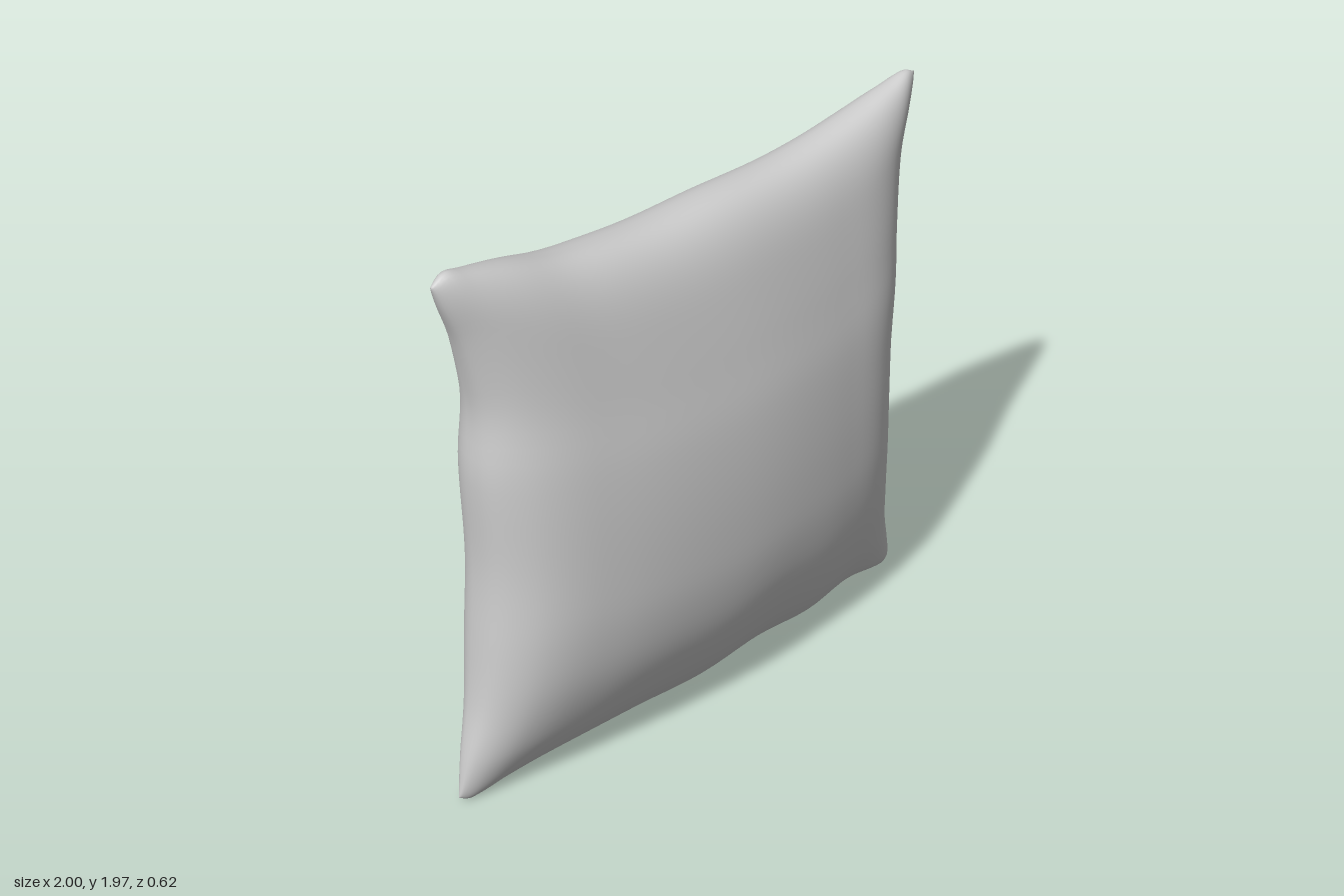
import * as THREE from 'three';
import { mergeVertices } from 'three/addons/utils/BufferGeometryUtils.js';

// Smooth curve through [position, value] knots
function spline(knots) {
  const n = knots.length - 1;
  const slope = (i) => {
    const a = knots[Math.max(0, i - 1)], b = knots[Math.min(n, i + 1)];
    return (b[1] - a[1]) / (b[0] - a[0]);
  };
  return (t) => {
    let i = 0;
    while (i < n - 1 && t > knots[i + 1][0]) i++;
    const [t0, a] = knots[i], [t1, b] = knots[i + 1];
    const h = t1 - t0, s = (t - t0) / h, s2 = s * s, s3 = s2 * s;
    return a * (2 * s3 - 3 * s2 + 1) + slope(i) * h * (s3 - 2 * s2 + s)
      + b * (3 * s2 - 2 * s3) + slope(i + 1) * h * (s3 - s2);
  };
}

// Seam outline: heights across u, half widths along v
const topEdge = spline([[-1, 1.95], [-0.95, 1.98], [-0.88, 1.966], [-0.72, 1.93], [-0.55, 1.883],
  [-0.42, 1.865], [-0.18, 1.85], [0.1, 1.857], [0.36, 1.861], [0.54, 1.88], [0.72, 1.915], [0.88, 1.957],
  [0.96, 1.98], [1, 1.965]]);
const bottomEdge = spline([[-1, 0.03], [-0.96, 0.01], [-0.83, 0.03], [-0.68, 0.04], [-0.3, 0.035],
  [0, 0.015], [0.28, 0.035], [0.54, 0.015], [0.75, 0.045], [0.96, 0.008], [1, 0.025]]);
const leftEdge = spline([[-1, -0.995], [-0.86, -0.968], [-0.65, -0.92], [-0.38, -0.89], [-0.1, -0.87],
  [0.27, -0.88], [0.46, -0.865], [0.57, -0.872], [0.78, -0.915], [0.92, -0.965], [1, -0.99]]);
const rightEdge = spline([[-1, 0.985], [-0.92, 0.968], [-0.67, 0.9], [-0.38, 0.865], [0.06, 0.855],
  [0.33, 0.88], [0.5, 0.89], [0.75, 0.917], [0.9, 0.965], [1, 1]]);

// Fullness corrections for each side of the cushion
const frontAcross = spline([[-1, 1.05], [-0.87, 1.1], [-0.58, 1.05], [0, 1], [0.58, 0.99], [0.87, 1.08], [1, 1.05]]);
const frontUp = spline([[-1, 0.75], [-0.92, 0.8], [-0.81, 0.9], [-0.59, 1.02], [-0.37, 1.04], [-0.15, 1.01],
  [0.285, 0.94], [0.505, 0.88], [0.725, 0.87], [1, 0.96]]);
const backAcross = spline([[-1, 1], [-0.75, 1.03], [-0.63, 1.09], [-0.5, 1.12], [-0.23, 1.04], [0, 1],
  [0.58, 0.98], [0.81, 1.04], [1, 1]]);
const backUp = spline([[-1, 0.8], [-0.81, 0.94], [-0.59, 1.03], [-0.37, 1.02], [-0.15, 0.98],
  [0.285, 0.97], [0.505, 0.98], [0.725, 1.02], [1, 1.06]]);

function cushionGeometry(segments) {
  const positions = [], indices = [], row = segments + 1;
  const swell = (t, p) => Math.pow(Math.max(0, 1 - t * t), p);
  for (const side of [1, -1]) {
    const across = side > 0 ? frontAcross : backAcross;
    const up = side > 0 ? frontUp : backUp;
    const start = positions.length / 3;
    for (let j = 0; j <= segments; j++) {
      for (let i = 0; i <= segments; i++) {
        // Rows crowd toward the seam, where the surface curves most
        const u = Math.sin((i / segments - 0.5) * Math.PI);
        const v = Math.sin((j / segments - 0.5) * Math.PI);
        const depth = 0.311 * swell(u, 0.4) * swell(v, 0.45) * across(u) * up(v);
        positions.push(
          THREE.MathUtils.lerp(leftEdge(v), rightEdge(v), (u + 1) / 2),
          THREE.MathUtils.lerp(bottomEdge(u), topEdge(u), (v + 1) / 2),
          side * depth);
        if (i < segments && j < segments) {
          const a = start + j * row + i, b = a + 1, c = b + row, d = a + row;
          if (side > 0) indices.push(a, b, c, a, c, d);
          else indices.push(a, c, b, a, d, c);
        }
      }
    }
  }
  const geometry = new THREE.BufferGeometry();
  geometry.setAttribute('position', new THREE.Float32BufferAttribute(positions, 3));
  geometry.setIndex(indices);
  // Join both sides along the seam for one smooth skin
  const joined = mergeVertices(geometry, 1e-5);
  joined.computeVertexNormals();
  return joined;
}

export function createModel() {
  const fabric = new THREE.MeshStandardMaterial({ color: 0xcccccc });
  fabric.name = 'light grey fabric';
  const cushion = new THREE.Mesh(cushionGeometry(56), fabric);
  cushion.name = 'cushion';
  const model = new THREE.Group();
  model.name = 'throwPillow';
  model.add(cushion);
  return model;
}
